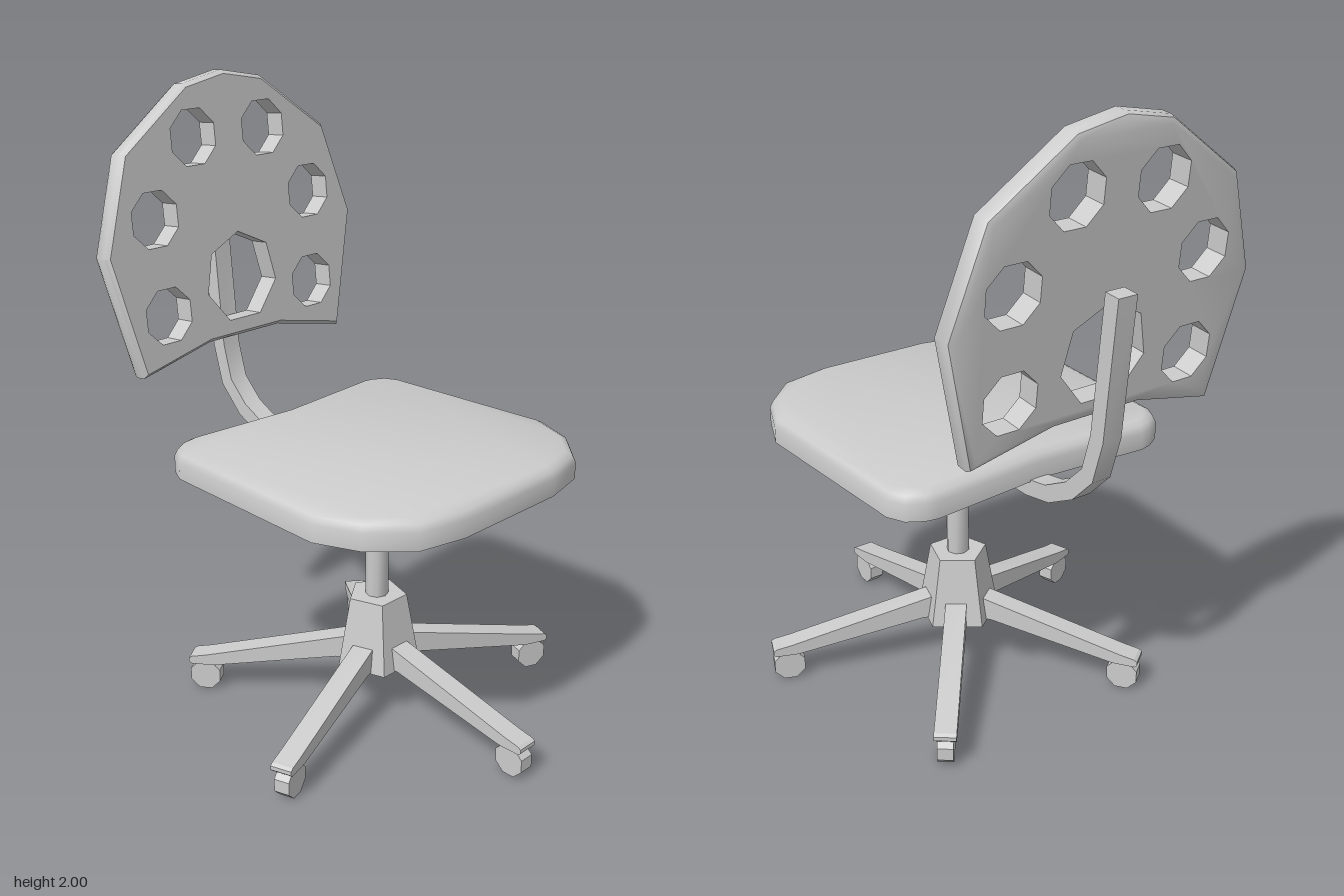
import * as THREE from 'three';
import { mergeGeometries, toCreasedNormals } from 'three/addons/utils/BufferGeometryUtils.js';

const material = new THREE.MeshStandardMaterial({ color: 0xcccccc });
const CX = 0.073; // axis of the column and base

function part(name, geometry, crease = 0.6) {
  const mesh = new THREE.Mesh(toCreasedNormals(geometry, crease), material);
  mesh.name = name;
  return mesh;
}

const vec = (list) => list.map(([x, y]) => new THREE.Vector2(x, y));

// Moves every corner of a counter-clockwise outline inwards by d
function inset(points, d) {
  const n = points.length;
  return points.map((p, i) => {
    const a = p.clone().sub(points[(i + n - 1) % n]).normalize();
    const b = points[(i + 1) % n].clone().sub(p).normalize();
    const na = new THREE.Vector2(-a.y, a.x), nb = new THREE.Vector2(-b.y, b.x);
    const m = na.clone().add(nb).normalize();
    return p.clone().addScaledVector(m, d / m.dot(na));
  });
}

// Wall through matching loops, each { points, w }
function wall(loops) {
  const pos = [], index = [], n = loops[0].points.length;
  loops.forEach(({ points, w }) => points.forEach((p) => pos.push(p.x, p.y, w)));
  for (let j = 0; j < loops.length - 1; j++) {
    for (let i = 0; i < n; i++) {
      const a = j * n + i, b = j * n + (i + 1) % n;
      index.push(a, b, b + n, a, b + n, a + n);
    }
  }
  const g = new THREE.BufferGeometry();
  g.setAttribute('position', new THREE.Float32BufferAttribute(pos, 3));
  g.setIndex(index);
  return g;
}

// Slab with a rounded rim and straight holes; layers are [inset, depth]
function slab(outline, layers, holes = []) {
  const loops = layers.map(([d, w]) => ({ points: inset(outline, d), w }));
  const first = loops[0], last = loops[loops.length - 1];
  const cap = ({ points, w }, flip) => {
    const shape = new THREE.Shape(points);
    shape.holes = holes.map((h) => new THREE.Path(h));
    const g = new THREE.ShapeGeometry(shape).translate(0, 0, w);
    if (flip) g.index.array.reverse();
    g.deleteAttribute('uv');
    g.deleteAttribute('normal');
    return g.toNonIndexed();
  };
  const walls = [wall(loops)];
  holes.forEach((h) => {
    const points = [...h].reverse();
    walls.push(wall([{ points, w: first.w }, { points, w: last.w }]));
  });
  return mergeGeometries([...walls.map((g) => g.toNonIndexed()), cap(first, true), cap(last, false)]);
}

// Side profile in x/y given a width in z
function profile(points, width) {
  return new THREE.ExtrudeGeometry(new THREE.Shape(points), { depth: width, bevelEnabled: false })
    .translate(0, 0, -width / 2);
}

function polygon(x, y, r, n, start) {
  return Array.from({ length: n }, (_, i) => {
    const a = start + (i / n) * Math.PI * 2;
    return new THREE.Vector2(x + r * Math.cos(a), y + r * Math.sin(a));
  });
}

function createSeat() {
  const half = [[0.605, 0.2], [0.57, 0.355], [0.46, 0.465], [0.32, 0.522], [-0.29, 0.497],
    [-0.345, 0.47], [-0.375, 0.42], [-0.383, 0.38]];
  const mirrored = half.map(([x, z]) => [x, -z]).reverse();
  const outline = vec([...half, [-0.352, 0], ...mirrored]);
  const g = slab(outline, [[0, 0], [0, 0.055], [0.01, 0.076], [0.032, 0.088]]);
  g.rotateX(-Math.PI / 2).translate(0, 0.84, 0);
  return part('seat', g, 0.75);
}

function createBackrest() {
  const base = 1.083;
  const right = [[0.15, 1.143], [0.425, base], [0.52, 1.48], [0.42, 1.785], [0.16, 1.97]];
  const left = right.map(([z, y]) => [-z, y]).reverse();
  const outline = vec([...right, [0, 2.0], ...left]).map((p) => p.setY(p.y - base));
  const holes = [polygon(0, 1.335 - base, 0.15, 7, Math.PI / 2)];
  for (const s of [-1, 1]) {
    for (const [z, y] of [[0.145, 1.805], [0.325, 1.573], [0.31, 1.265]]) {
      holes.push(polygon(s * z, y - base, 0.094, 8, Math.PI / 8));
    }
  }
  const g = slab(outline, [[0.022, -0.036], [0.006, -0.029], [0, -0.015], [0, 0.022], [0.012, 0.036]], holes);
  g.rotateY(Math.PI / 2).rotateZ(0.093).translate(-0.563, base, 0);
  return part('backrest', g, 0.75);
}

// Bent flat bar from under the seat up behind the backrest
function createBracket() {
  const path = vec([[-0.68, 1.52], [-0.642, 1.09], [-0.607, 0.965], [-0.53, 0.885],
    [-0.43, 0.832], [-0.33, 0.814], [-0.1, 0.814]]);
  const side = (d) => path.map((p, i) => {
    const t = path[Math.min(i + 1, path.length - 1)].clone().sub(path[Math.max(i - 1, 0)]).normalize();
    return new THREE.Vector2(p.x - t.y * d, p.y + t.x * d);
  });
  return part('backrestBracket', profile([...side(-0.027), ...side(0.027).reverse()], 0.066));
}

function createLeg(angle) {
  const leg = new THREE.Group();
  leg.name = 'leg';
  const points = vec([[0.07, 0.17], [0.13, 0.17], [0.55, 0.095], [0.625, 0.095], [0.632, 0.102],
    [0.632, 0.115], [0.622, 0.122], [0.57, 0.132], [0.1, 0.247], [0.07, 0.247]]);
  leg.add(part('legArm', profile(points, 0.07), 0.3));
  const wheel = new THREE.CylinderGeometry(0.054, 0.054, 0.05, 8).rotateY(Math.PI / 8)
    .rotateX(Math.PI / 2).translate(0.58, 0.05, 0);
  leg.add(part('caster', wheel, 0.3));
  leg.rotation.y = -THREE.MathUtils.degToRad(angle);
  leg.position.x = CX;
  return leg;
}

export function createModel() {
  const chair = new THREE.Group();
  chair.name = 'swivelChair';
  chair.add(createSeat(), createBackrest(), createBracket());

  // Plate, column and five-sided hub
  chair.add(part('seatPlate', new THREE.CylinderGeometry(0.203, 0.203, 0.05, 8).translate(CX, 0.815, 0), 0.9));
  chair.add(part('column', new THREE.CylinderGeometry(0.037, 0.037, 0.42, 8).translate(CX, 0.59, 0), 0.9));
  const hub = new THREE.CylinderGeometry(0.097, 0.14, 0.235, 5, 1, false, -Math.PI / 2);
  chair.add(part('hub', hub.translate(CX, 0.2825, 0), 0.3));

  for (const angle of [0, 72.5, 145, 218.5, 291.5]) chair.add(createLeg(angle));
  chair.position.z = -0.008;
  const model = new THREE.Group();
  model.add(chair);
  return model;
}
